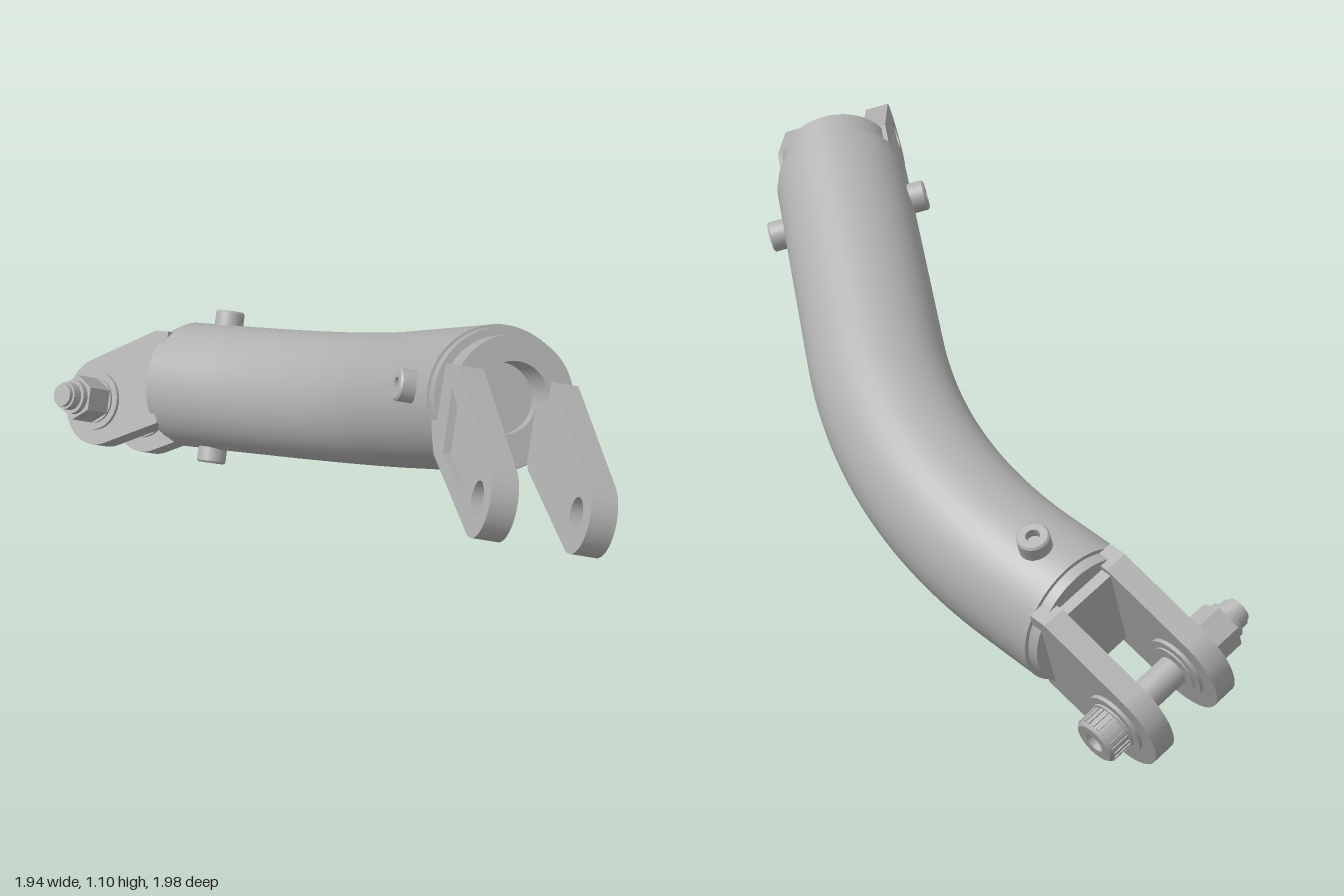
import * as THREE from 'three';

const metal = new THREE.MeshStandardMaterial({ color: 0xb0b0b0 });
metal.name = 'grey metal';
const V = (x, y, z) => new THREE.Vector3(x, y, z);
const R = 0.183;

function add(parent, name, geometry) {
  const mesh = new THREE.Mesh(geometry, metal);
  mesh.name = name;
  parent.add(mesh);
  return mesh;
}

// group whose x runs along the limb and whose z runs along the pin
function frame(name, origin, along, side) {
  const x = along.clone().normalize();
  const y = side.clone().cross(x).normalize();
  const z = x.clone().cross(y);
  const g = new THREE.Group();
  g.name = name;
  g.applyMatrix4(new THREE.Matrix4().makeBasis(x, y, z).setPosition(origin));
  return g;
}

// flat plate between two z levels
function plate(shape, z0, z1) {
  return new THREE.ExtrudeGeometry(shape, { depth: z1 - z0, bevelEnabled: false, curveSegments: 24 }).translate(0, 0, z0);
}

// cylinder along x or z between two levels
function rodX(r, x0, x1, sides = 48) {
  return new THREE.CylinderGeometry(r, r, x1 - x0, sides).rotateZ(-Math.PI / 2).translate((x0 + x1) / 2, 0, 0);
}
function rodZ(r, z0, z1, c, sides = 32) {
  return new THREE.CylinderGeometry(r, r, z1 - z0, sides).rotateX(Math.PI / 2).translate(c[0], c[1], (z0 + z1) / 2);
}

// solid of revolution with crisp corners: each straight run is doubled at its ends
function turned(points, sides = 32) {
  const pts = [];
  for (let i = 0; i < points.length; i++) {
    const p = new THREE.Vector2(...points[i]);
    if (i > 0 && i < points.length - 1) {
      const a = new THREE.Vector2(...points[i - 1]), b = new THREE.Vector2(...points[i + 1]);
      pts.push(p.clone().lerp(a, 0.02), p.clone().lerp(b, 0.02));
    } else pts.push(p);
  }
  return new THREE.LatheGeometry(pts, sides);
}

// lever outline: base corners joined by tangents to a round eye
function armShape(bottom, top, eye, r, hole) {
  const tangent = (p, sign) => {
    const dx = p[0] - eye[0], dy = p[1] - eye[1];
    return Math.atan2(dy, dx) + sign * Math.acos(r / Math.hypot(dx, dy));
  };
  const s = new THREE.Shape();
  s.moveTo(...bottom[0]);
  bottom.slice(1).forEach(p => s.lineTo(...p));
  s.absarc(eye[0], eye[1], r, tangent(bottom.at(-1), 1), tangent(top[0], -1), false);
  top.forEach(p => s.lineTo(...p));
  s.closePath();
  const h = new THREE.Path();
  h.absarc(eye[0], eye[1], hole, 0, Math.PI * 2, true);
  s.holes.push(h);
  return s;
}

// socket screw standing out of the tube wall
function screw(parent, centre, dir) {
  const m = add(parent, 'tubeScrew', turned([[0.042, 0.16], [0.042, 0.219], [0.037, 0.224], [0.018, 0.224], [0.018, 0.2], [0, 0.2]], 28));
  m.position.copy(centre);
  m.quaternion.setFromUnitVectors(V(0, 1, 0), dir.clone().normalize());
}

export function createModel() {
  const model = new THREE.Group();
  model.name = 'bentLink';

  // bent tube: straight, arc, straight, in one slanted plane
  const inPlane = (x, u) => V(x, 0.718 + 0.48 * u, 0.877 * u);
  const deg = Math.PI / 180;
  const dirA = [Math.cos(26 * deg), Math.sin(26 * deg)], dirB = [0.5, 0.866];
  const bend = [0.017, -0.535], L = 0.47;
  const A = inPlane(-0.57, -0.821), B = inPlane(0.587, 0.453);
  const arcStart = inPlane(bend[0] - dirA[0] * L, bend[1] - dirA[1] * L);
  const arcEnd = inPlane(bend[0] + dirB[0] * L, bend[1] + dirB[1] * L);
  const path = new THREE.CurvePath();
  path.add(new THREE.LineCurve3(A, arcStart));
  path.add(new THREE.QuadraticBezierCurve3(arcStart, inPlane(...bend), arcEnd));
  path.add(new THREE.LineCurve3(arcEnd, B));
  add(model, 'tube', new THREE.TubeGeometry(path, 64, R, 64, false));

  const tA = arcStart.clone().sub(A).normalize();
  const tB = B.clone().sub(arcEnd).normalize();

  // upper fork: U shaped hoop with two cranked arms
  const fork = frame('upperFork', B, tB, V(-0.87, 0.26, 0.42));
  model.add(fork);
  add(fork, 'tubeEnd', rodX(R, -0.01, 0, 64));
  add(fork, 'forkCollar', turned([[0.09, 0], [0.176, 0], [0.176, 0.035], [0.09, 0.035], [0.09, 0]], 64).rotateZ(-Math.PI / 2));
  const hoop = new THREE.Shape();
  hoop.absarc(0, 0, 0.155, 0, Math.PI, false);
  hoop.absarc(0, 0, 0.09, Math.PI, 0, true);
  add(fork, 'forkHoop', plate(hoop, 0, 0.12).rotateY(Math.PI / 2));
  const forkArm = () => armShape([[0, -0.1], [0.05, -0.165]], [[0.13, 0.055], [0, 0.06]], [0.426, -0.264], 0.093, 0.042);
  const rim = forkArm();
  rim.holes.push(new THREE.Path([[0.312, -0.258], [0.12, -0.16], [0.113, 0], [0.335, -0.173]].map(p => new THREE.Vector2(...p))));
  for (const s of [-1, 1]) {
    const span = (a, b) => (s > 0 ? [a, b] : [-b, -a]);
    add(fork, 'forkArm', plate(forkArm(), ...span(0.09, 0.137)));
    add(fork, 'forkArmRim', plate(rim, ...span(0.137, 0.157)));
  }

  // lower clevis: base block, two eyes with washers
  const clevis = frame('lowerClevis', A, tA.clone().negate(), V(0.475, -0.42, -0.773));
  model.add(clevis);
  const eye = [0.245, -0.083];
  add(clevis, 'tubeEnd', rodX(R, -0.01, 0, 64));
  add(clevis, 'clevisBase', rodX(0.172, 0, 0.03, 64));
  add(clevis, 'clevisBlock', new THREE.BoxGeometry(0.06, 0.25, 0.2).translate(0.03, 0, 0));
  const eyeArm = armShape([[0, -0.13], [0.04, -0.145]], [[0.05, 0.14], [0, 0.14]], eye, 0.13, 0.04);
  for (const s of [-1, 1]) {
    const span = (a, b) => (s > 0 ? [a, b] : [-b, -a]);
    add(clevis, 'clevisArm', plate(eyeArm, ...span(0.075, 0.137)));
    add(clevis, 'washer', rodZ(0.085, ...span(0.065, 0.147), eye));
    add(clevis, 'bushing', rodZ(0.066, ...span(0.06, 0.153), eye));
  }

  // pin bolt through the clevis: shank, socket head, nut, threaded tip
  add(clevis, 'boltShank', rodZ(0.04, -0.28, 0.16, eye));
  const head = turned([[0.06, 0.15], [0.06, 0.208], [0.054, 0.214], [0.026, 0.214], [0.026, 0.185], [0, 0.185]], 32);
  add(clevis, 'boltHead', head.rotateX(Math.PI / 2).translate(eye[0], eye[1], 0));
  for (let i = 0; i < 24; i++) {
    const a = i / 24 * Math.PI * 2;
    add(clevis, 'headGrip', new THREE.BoxGeometry(0.006, 0.008, 0.05).rotateZ(a)
      .translate(eye[0] + 0.06 * Math.cos(a), eye[1] + 0.06 * Math.sin(a), 0.18));
  }
  const nut = rodZ(0.066, -0.235, -0.15, eye, 6).toNonIndexed();
  nut.computeVertexNormals();
  add(clevis, 'nut', nut);
  add(clevis, 'nutCollar', rodZ(0.05, -0.252, -0.235, eye));
  add(clevis, 'boltTip', rodZ(0.033, -0.292, -0.28, eye));

  // opposed screws near each tube end
  const upA = V(0, 1, 0).applyQuaternion(clevis.quaternion);
  const sideB = V(0, 0, 1).applyQuaternion(fork.quaternion);
  for (const s of [-1, 1]) {
    screw(model, A.clone().addScaledVector(tA, 0.11), upA.clone().multiplyScalar(s));
    screw(model, B.clone().addScaledVector(tB, -0.13), sideB.clone().multiplyScalar(s));
  }
  return model;
}
